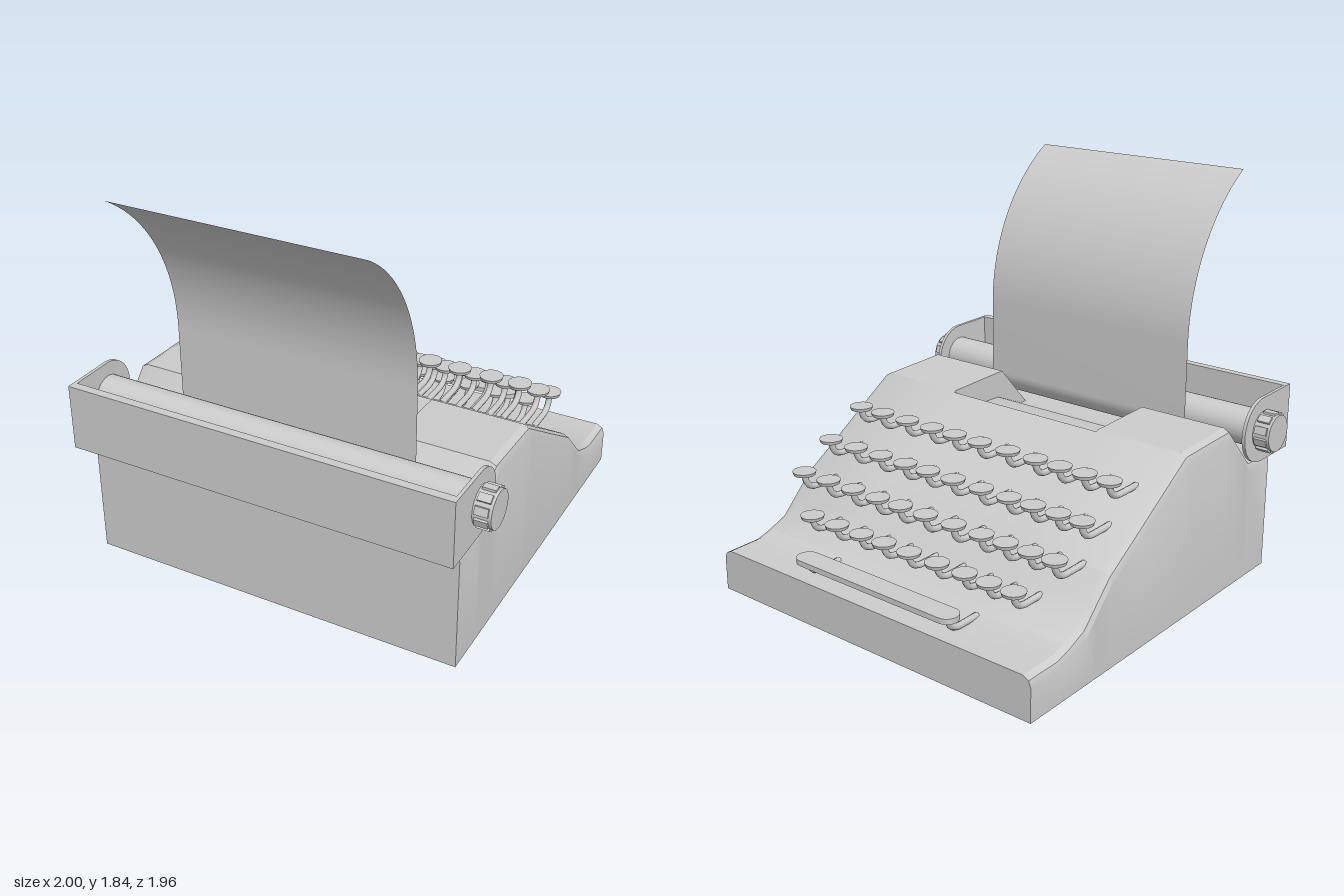
import * as THREE from 'three';
import { toCreasedNormals } from 'three/addons/utils/BufferGeometryUtils.js';

const grey = new THREE.MeshStandardMaterial({ color: 0xcccccc });
const sheet = new THREE.MeshStandardMaterial({ color: 0xcccccc, side: THREE.DoubleSide });

function add(parent, name, geometry, x = 0, y = 0, z = 0, material = grey) {
  const mesh = new THREE.Mesh(geometry, material);
  mesh.name = name;
  mesh.position.set(x, y, z);
  parent.add(mesh);
  return mesh;
}

// Height of a (z, y) polyline at z
function heightAt(line, z) {
  for (let i = 1; i < line.length; i++) {
    const [z0, y0] = line[i - 1], [z1, y1] = line[i];
    if (z >= z0 && z <= z1) return y0 + (y1 - y0) * (z - z0) / (z1 - z0);
  }
  return Infinity;
}

// Casing: cross-sections along z with rounded shoulders and a sunken type well
function bodyGeometry() {
  const top = [[-0.975, 0.2], [-0.79, 0.2], [-0.72, 0.22], [-0.62, 0.26], [-0.55, 0.33],
    [-0.45, 0.43], [-0.26, 0.55], [0.1, 0.78], [0.45, 0.79], [0.64, 0.58], [0.81, 0.58]];
  const well = [[0.09, 0.78], [0.16, 0.67], [0.42, 0.66], [0.6, 0.58], [0.64, 0.58]];
  const stations = [...new Set([...top, ...well].map(p => p[0]))].sort((a, b) => a - b);
  const loops = stations.map(z => {
    const y = heightAt(top, z), floor = Math.min(y, heightAt(well, z));
    const L = -0.885, R = 0.9;
    return [[L, 0], [R, 0], [R, y - 0.045], [R - 0.011, y - 0.015], [R - 0.04, y],
      [0.43, y], [0.43, floor], [-0.41, floor], [-0.41, y],
      [L + 0.04, y], [L + 0.011, y - 0.015], [L, y - 0.045]]
      .map(p => new THREE.Vector3(p[0], p[1], z));
  });
  const pos = [], n = loops[0].length;
  const tri = (a, b, c) => {
    if (new THREE.Triangle(a, b, c).getArea() > 1e-7)
      for (const v of [a, b, c]) pos.push(v.x, v.y, v.z);
  };
  for (let s = 0; s + 1 < loops.length; s++) {
    for (let i = 0; i < n; i++) {
      const j = (i + 1) % n, A = loops[s], B = loops[s + 1];
      tri(A[i], A[j], B[j]);
      tri(A[i], B[j], B[i]);
    }
  }
  const first = loops[0], last = loops[loops.length - 1];
  for (let i = 1; i + 1 < n; i++) {
    tri(last[0], last[i], last[i + 1]);
    tri(first[0], first[i + 1], first[i]);
  }
  const g = new THREE.BufferGeometry();
  g.setAttribute('position', new THREE.Float32BufferAttribute(pos, 3));
  return toCreasedNormals(g, 0.45);
}

// Bent arm: runs forward, then turns up to the cap
function armGeometry(start, turn, rise) {
  const path = new THREE.CurvePath();
  const v = (y, z) => new THREE.Vector3(0, y, z);
  path.add(new THREE.LineCurve3(v(0, start), v(0, turn)));
  path.add(new THREE.QuadraticBezierCurve3(v(0, turn), v(0, 0), v(rise, 0)));
  return new THREE.TubeGeometry(path, 14, 0.015, 8);
}

export function createModel() {
  const model = new THREE.Group();
  add(model, 'body', bodyGeometry());

  // Keys: four rows stepping down the slope
  const columns = [-0.735, -0.613, -0.483, -0.353, -0.2, -0.04, 0.108, 0.245, 0.397, 0.555, 0.71];
  const rows = [[-0.275, 0.74, 0.66], [-0.455, 0.622, 0.54], [-0.635, 0.517, 0.43], [-0.743, 0.38, 0.3]];
  const cap = new THREE.CylinderGeometry(0.055, 0.05, 0.016, 20);
  const edgeShift = [[-0.005, -0.015], [0, 0.01], [0, 0.005], [0, 0]];
  rows.forEach(([z, y, armY], r) => {
    const arm = armGeometry(0.2, 0.08, y - armY);
    columns.forEach((cx, c) => {
      const edge = c === 0 ? 0 : c === 10 ? 1 : -1;
      if (r === 3 && edge >= 0) return;
      const x = cx + (edge >= 0 ? edgeShift[r][edge] : 0);
      const key = new THREE.Group();
      key.name = 'key';
      key.position.set(x, 0, z);
      add(key, 'keyArm', arm, 0, armY, 0);
      add(key, 'keyCap', cap, 0, y, 0);
      model.add(key);
    });
  });

  // Space bar: flat pill on two arms
  const pill = new THREE.Shape();
  pill.absarc(0.405, 0, 0.052, -Math.PI / 2, Math.PI / 2);
  pill.absarc(-0.405, 0, 0.052, Math.PI / 2, Math.PI * 1.5);
  const pillGeo = new THREE.ExtrudeGeometry(pill, { depth: 0.025, bevelEnabled: false, curveSegments: 10 });
  pillGeo.rotateX(-Math.PI / 2);
  add(model, 'spaceBar', pillGeo, -0.012, 0.273, -0.925);
  for (const x of [-0.415, 0.395])
    add(model, 'spaceBarArm', armGeometry(0.18, 0.08, 0.07), x, 0.21, -0.92);

  // Carriage: back wall, rounded end plates, roller
  const axisY = 0.735, axisZ = 0.67;
  add(model, 'carriageBack', new THREE.BoxGeometry(1.835, 0.31, 0.04), 0, axisY, 0.895);
  const plate = new THREE.Shape();
  plate.moveTo(-0.245, -0.155);
  plate.lineTo(0, -0.155);
  plate.absarc(0, 0, 0.153, -Math.PI / 2, Math.PI / 2);
  plate.lineTo(-0.245, 0.155);
  const plateGeo = new THREE.ExtrudeGeometry(plate, { depth: 0.016, bevelEnabled: false, curveSegments: 24 });
  plateGeo.translate(0, 0, -0.008).rotateY(Math.PI / 2);
  const roller = new THREE.CylinderGeometry(0.088, 0.088, 1.81, 32).rotateZ(Math.PI / 2);
  add(model, 'roller', roller, 0, axisY, axisZ);

  // End plates and ribbed knobs, mirrored
  const core = new THREE.CylinderGeometry(0.086, 0.086, 0.085, 30).rotateZ(Math.PI / 2);
  const rib = new THREE.BoxGeometry(0.06, 0.02, 0.036);
  for (const side of [-1, 1]) {
    add(model, 'endPlate', plateGeo, side * 0.91, axisY, axisZ);
    const knob = new THREE.Group();
    knob.name = 'knob';
    knob.position.set(side * 0.9575, axisY, axisZ);
    add(knob, 'knobCore', core);
    for (let i = 0; i < 10; i++) {
      const a = i * Math.PI / 5;
      add(knob, 'knobRib', rib, 0, Math.cos(a) * 0.085, Math.sin(a) * 0.085).rotation.x = a;
    }
    model.add(knob);
  }

  // Paper: hugs the roller, rises, then curls back
  const curve = [];
  for (let i = 0; i <= 8; i++) {
    const a = (1 - i / 8) * Math.PI / 3;
    curve.push([axisZ - 0.11 * Math.cos(a), axisY - 0.11 * Math.sin(a)]);
  }
  const R = 0.862, end = Math.asin(0.74 / R);
  for (let i = 0; i <= 20; i++) {
    const a = end * i / 20;
    curve.push([0.56 + R * (1 - Math.cos(a)), 1.1 + R * Math.sin(a)]);
  }
  const paper = new THREE.PlaneGeometry(1.155, 1, 1, curve.length - 1);
  const p = paper.attributes.position;
  for (let i = 0; i < p.count; i++) {
    const [z, y] = curve[curve.length - 1 - Math.floor(i / 2)];
    p.setXYZ(i, p.getX(i), y, z);
  }
  paper.computeVertexNormals();
  add(model, 'paper', paper, 0.0025, 0, 0, sheet);

  return model;
}
